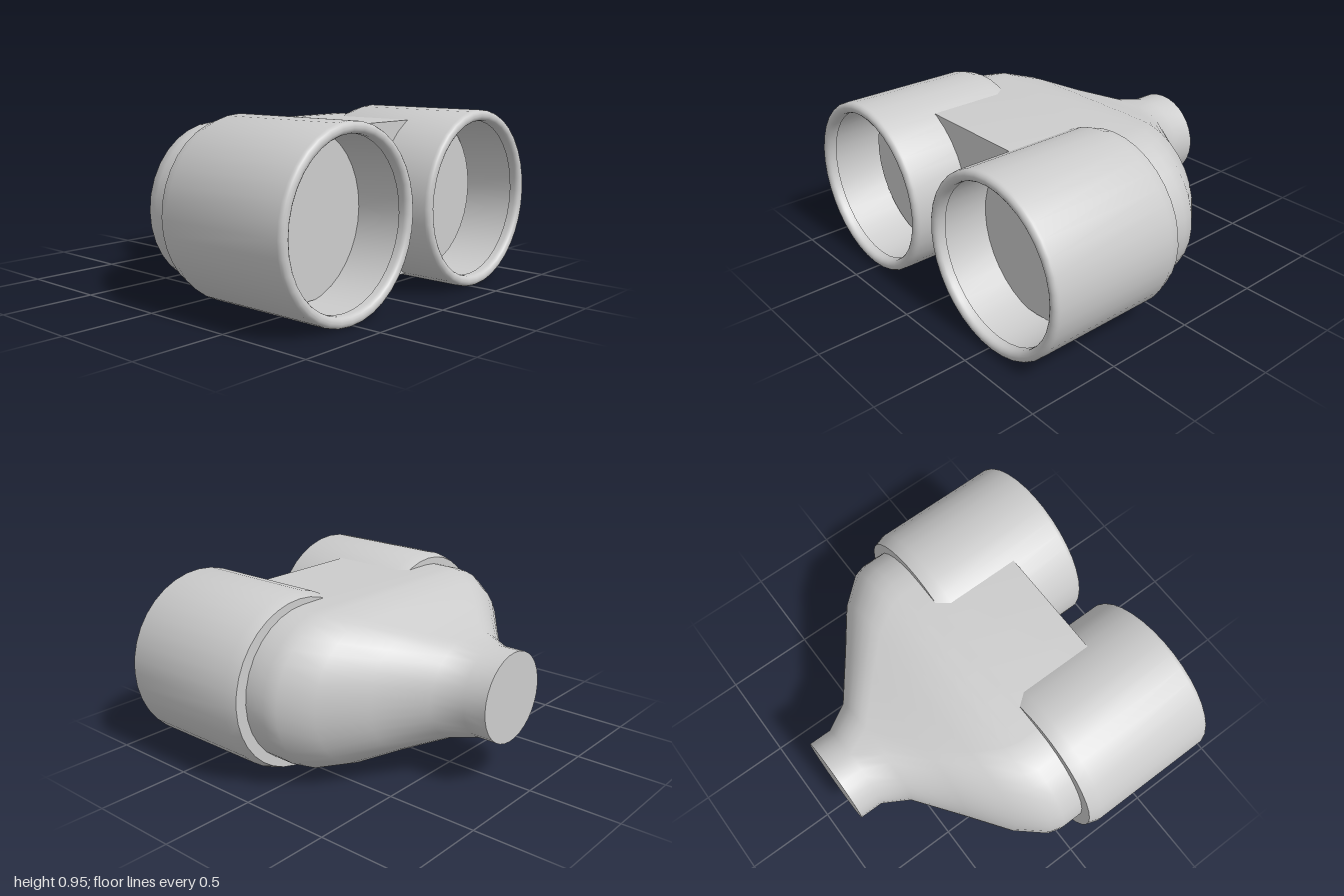
import * as THREE from 'three';
import { toCreasedNormals } from 'three/addons/utils/BufferGeometryUtils.js';

const CENTRE_Y = 0.475;
const TUBE_X = 0.53;

// Merging body: stadium sections [z, half width, half height] lofted from back to front
function bodyGeometry() {
  const sections = [
    [-0.867, 0.24, 0.24], [-0.74, 0.24, 0.24], [-0.6, 0.32, 0.26], [-0.42, 0.56, 0.317],
    [-0.26, 0.78, 0.38], [-0.12, 0.9, 0.415], [-0.05, 0.92, 0.417], [0.07, 0.92, 0.417], [0.55, 0.92, 0.417],
  ];
  const half = 16;
  const n = 2 * (half + 1);
  const positions = [];
  const index = [];
  for (const [z, w, r] of sections) {
    for (let j = 0; j < n; j++) {
      const right = j <= half;
      const k = right ? j : j - half - 1;
      const a = -Math.PI / 2 + (k / half) * Math.PI + (right ? 0 : Math.PI);
      const offset = (right ? 1 : -1) * (w - r);
      positions.push(offset + r * Math.cos(a), r * Math.sin(a), z);
    }
  }
  const last = sections.length - 1;
  for (let i = 0; i < last; i++) {
    for (let j = 0; j < n; j++) {
      const k = (j + 1) % n;
      const a = i * n + j, b = i * n + k, c = b + n, d = a + n;
      index.push(a, b, c, a, c, d);
    }
  }
  // Flat end faces
  const back = positions.length / 3;
  positions.push(0, 0, sections[0][0], 0, 0, sections[last][0]);
  for (let j = 0; j < n; j++) {
    const k = (j + 1) % n;
    index.push(back, k, j, back + 1, last * n + j, last * n + k);
  }
  const g = new THREE.BufferGeometry();
  g.setAttribute('position', new THREE.Float32BufferAttribute(positions, 3));
  g.setIndex(index);
  return toCreasedNormals(g, 0.7);
}

// Socket: hollow sleeve with a chamfered rear, rounded lip and shallow inner step
function socketGeometry() {
  const profile = [[0.3, 0.07], [0.452, 0.07], [0.473, 0.135]];
  const lip = 0.028;
  for (let i = 0; i <= 4; i++) {
    const a = (i / 4) * Math.PI / 2;
    profile.push([0.473 - lip + lip * Math.cos(a), 0.867 - lip + lip * Math.sin(a)]);
  }
  for (let i = 0; i <= 4; i++) {
    const a = Math.PI / 2 + (i / 4) * Math.PI / 2;
    profile.push([0.443 + lip * Math.cos(a), 0.867 - lip + lip * Math.sin(a)]);
  }
  profile.push([0.415, 0.81], [0.43, 0.81], [0.43, 0.52], [0, 0.52]);
  const g = new THREE.LatheGeometry(profile.map(([r, z]) => new THREE.Vector2(r, z)), 36);
  g.rotateX(Math.PI / 2);
  return toCreasedNormals(g, 0.6);
}

export function createModel() {
  const model = new THREE.Group();
  model.name = 'pipeJunction';
  const grey = new THREE.MeshStandardMaterial({ color: 0xcccccc });
  grey.name = 'plainGrey';

  const body = new THREE.Mesh(bodyGeometry(), grey);
  body.name = 'mergingBody';
  body.position.y = CENTRE_Y;
  model.add(body);

  const socket = socketGeometry();
  for (const [name, side] of [['leftSocket', 1], ['rightSocket', -1]]) {
    const mesh = new THREE.Mesh(socket, grey);
    mesh.name = name;
    mesh.position.set(side * TUBE_X, CENTRE_Y, 0);
    model.add(mesh);
  }
  return model;
}
